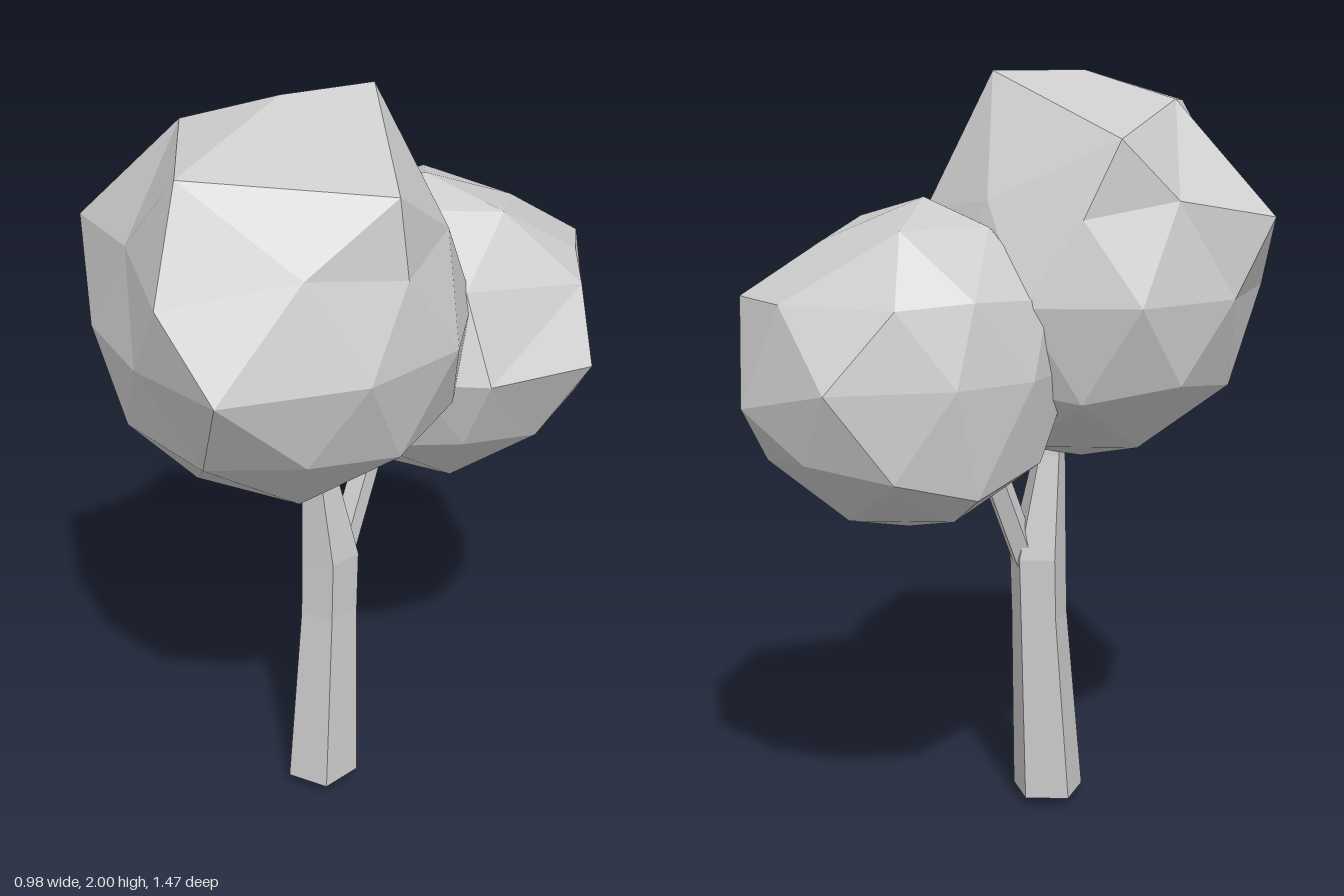
import * as THREE from 'three';

const STEP = Math.PI / 5;

function facetedMesh(name, points, faces) {
  const geometry = new THREE.BufferGeometry();
  geometry.setAttribute('position', new THREE.Float32BufferAttribute(points.flat(), 3));
  geometry.setIndex(faces.flat());
  const flat = geometry.toNonIndexed();
  flat.computeVertexNormals();
  const mesh = new THREE.Mesh(flat, new THREE.MeshStandardMaterial({ color: 0xcccccc, flatShading: true }));
  mesh.name = name;
  return mesh;
}

// Foliage: an upright 80-face icosphere made of rings, with a few corners pulled.
// Rings: T top, M upper five, U upper ten, E equator ten, L lower ten, N lower five, B bottom.
function crown(name, [cx, cy, cz], r, pulled) {
  const points = [], id = {};
  const add = (key, level, radius, turn) => {
    const a = turn * STEP;
    id[key] = points.length;
    points.push(pulled[key] ??
      [cx + r * radius * Math.cos(a), cy + r * level, cz + r * radius * Math.sin(a)]);
  };
  add('T', 1, 0, 0);
  add('B', -1, 0, 0);
  for (let k = 0; k < 5; k++) {
    add('M' + k, 0.851, 0.526, 2 * k);
    add('N' + k, -0.851, 0.526, 2 * k + 1);
  }
  for (let j = 0; j < 10; j++) {
    const odd = j % 2 === 1;
    add('U' + j, odd ? 0.526 : 0.447, odd ? 0.851 : 0.894, j);
    add('E' + j, 0, 1, j + 0.5);
    add('L' + j, odd ? -0.447 : -0.526, odd ? 0.894 : 0.851, j);
  }
  const faces = [];
  const tri = (a, b, c) => faces.push([id[a], id[c], id[b]]);
  for (let k = 0; k < 5; k++) {
    const n = (k + 1) % 5, a = 2 * k, b = a + 1, c = (a + 2) % 10, d = (a + 3) % 10;
    tri('T', 'M' + k, 'M' + n);
    tri('M' + k, 'U' + a, 'U' + b);
    tri('M' + k, 'U' + b, 'M' + n);
    tri('M' + n, 'U' + b, 'U' + c);
    tri('L' + b, 'N' + k, 'L' + c);
    tri('N' + k, 'N' + n, 'L' + c);
    tri('L' + c, 'N' + n, 'L' + d);
    tri('N' + k, 'B', 'N' + n);
  }
  for (let j = 0; j < 10; j++) {
    const n = (j + 1) % 10;
    tri('U' + j, 'E' + j, 'U' + n);
    tri('E' + j, 'E' + n, 'U' + n);
    tri('E' + j, 'L' + j, 'L' + n);
    tri('E' + j, 'L' + n, 'E' + n);
  }
  return facetedMesh(name, points, faces);
}

// Five-sided limb through rings [x, y, z, radius], closed by a point at each end.
function limb(name, rings, start, end) {
  const points = [], faces = [];
  for (const [x, y, z, r] of rings) {
    for (let i = 0; i < 5; i++) {
      const a = (2 * i + 1) * STEP;
      points.push([x + r * Math.cos(a), y, z + r * Math.sin(a)]);
    }
  }
  const first = points.push(start) - 1, last = points.push(end) - 1;
  const top = (rings.length - 1) * 5;
  for (let i = 0; i < 5; i++) {
    const n = (i + 1) % 5;
    for (let s = 0; s < top; s += 5) {
      faces.push([s + i, s + 5 + i, s + n], [s + n, s + 5 + i, s + 5 + n]);
    }
    faces.push([first, i, n], [last, top + n, top + i]);
  }
  return facetedMesh(name, points, faces);
}

export function createModel() {
  const tree = new THREE.Group();
  tree.name = 'tree';

  tree.add(limb('trunk', [
    [0, 0.03, 0.14, 0.1],
    [-0.005, 0.55, 0.105, 0.079],
    [-0.005, 0.72, 0.1, 0.08],
    [-0.015, 1.0, 0.13, 0.044],
    [-0.015, 1.1, 0.135, 0.04],
  ], [-0.01, 0, 0.14], [-0.015, 1.13, 0.135]));

  tree.add(limb('branch', [
    [0, 0.68, 0.075, 0.04],
    [0, 0.98, -0.045, 0.04],
    [0, 1.1, -0.1, 0.038],
  ], [0, 0.64, 0.09], [0, 1.14, -0.12]));

  tree.add(crown('frontCrown', [-0.02, 1.45, 0.23], 0.47, {
    T: [-0.02, 2.0, 0.23],
    M0: [0.37, 1.85, 0.23],
    M1: [0.06, 1.91, 0.62],
    M2: [-0.22, 1.93, 0.37],
    M3: [-0.38, 1.85, 0.08],
    M4: [0.06, 2.0, 0],
    U2: [0.11, 1.65, 0.735],
    U4: [-0.49, 1.65, 0.48],
    E1: [0.26, 1.45, 0.7],
  }));

  tree.add(crown('backCrown', [0, 1.28, -0.3], 0.42, {
    T: [0, 1.7, -0.245],
    M1: [0.07, 1.65, -0.11],
    M3: [-0.16, 1.64, -0.41],
    M4: [0.08, 1.6, -0.49],
    U0: [0.39, 1.46, -0.415],
    U5: [-0.32, 1.48, -0.3],
    U6: [-0.27, 1.47, -0.49],
    U7: [-0.03, 1.47, -0.67],
    U8: [0.155, 1.47, -0.68],
    E0: [0.39, 1.28, -0.08],
    E4: [-0.35, 1.28, -0.15],
    E5: [-0.35, 1.28, -0.37],
    E6: [-0.225, 1.28, -0.66],
    E7: [0.055, 1.21, -0.735],
    E8: [0.285, 1.2, -0.59],
    E9: [0.485, 1.28, -0.355],
    L5: [-0.33, 1.0, -0.3],
  }));

  return tree;
}
